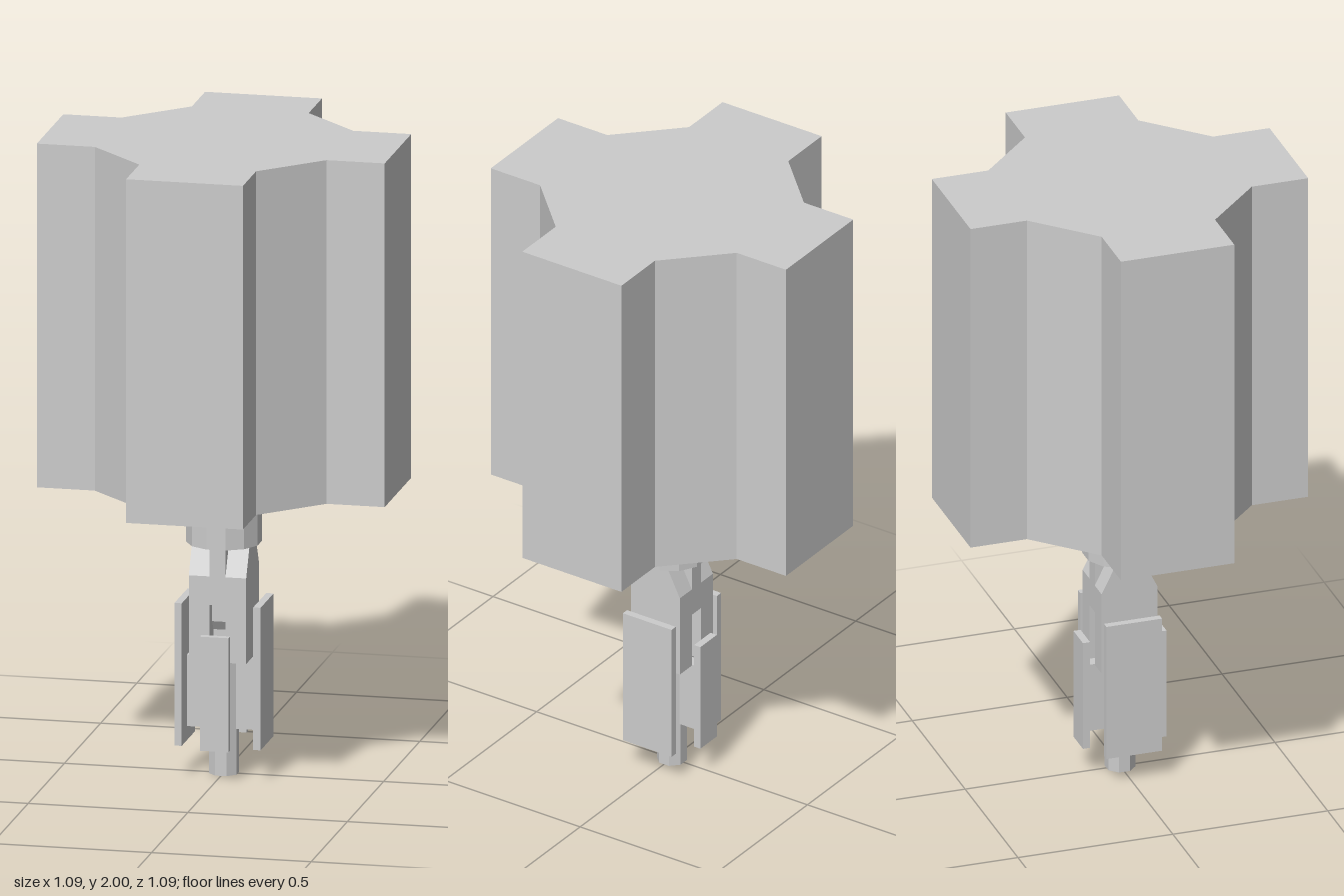
import * as THREE from 'three';

const material = new THREE.MeshStandardMaterial({ color: 0xcccccc, flatShading: true });

function add(parent, name, geometry) {
  const mesh = new THREE.Mesh(geometry, material);
  mesh.name = name;
  parent.add(mesh);
  return mesh;
}

// Box given by its lower and upper corners
function span(x0, x1, y0, y1, z0, z1) {
  return new THREE.BoxGeometry(x1 - x0, y1 - y0, z1 - z0)
    .translate((x0 + x1) / 2, (y0 + y1) / 2, (z0 + z1) / 2);
}

// Upright prism with flat sides facing the axes
function prism(radius, y0, y1, sides) {
  return new THREE.CylinderGeometry(radius, radius, y1 - y0, sides)
    .rotateY(Math.PI / sides).translate(0, (y0 + y1) / 2, 0);
}

// Outline in (z, y), extruded along x
function sideProfile(points, x0, x1) {
  const shape = new THREE.Shape(points.map(([z, y]) => new THREE.Vector2(-z, y)));
  return new THREE.ExtrudeGeometry(shape, { depth: x1 - x0, bevelEnabled: false })
    .rotateY(Math.PI / 2).translate(x0, 0, 0);
}

export function createModel() {
  const model = new THREE.Group();
  model.name = 'crossHeadedPin';

  // Cross-shaped head with slanted inner corners
  const a = 0.545, b = 0.183, c = 0.363;
  const corners = [];
  for (let i = 0; i < 4; i++) {
    for (const [x, y] of [[a, -b], [a, b], [c, b], [b, c]]) {
      corners.push(new THREE.Vector2(x, y).rotateAround(new THREE.Vector2(), i * Math.PI / 2));
    }
  }
  add(model, 'head', new THREE.ExtrudeGeometry(new THREE.Shape(corners), { depth: 1.085, bevelEnabled: false })
    .rotateX(-Math.PI / 2).translate(0, 0.915, 0));

  // Stepped neck
  add(model, 'collar', prism(0.186, 0.87, 0.915, 12));
  add(model, 'neck', prism(0.116, 0.73, 0.87, 12));

  // Body: two cheeks with sloped shoulders, joined by a middle web
  const body = new THREE.Group();
  body.name = 'body';
  model.add(body);
  const cheek = [[-0.09, 0.37], [0.09, 0.37], [0.09, 0.64], [0.045, 0.73], [-0.045, 0.73], [-0.09, 0.64]];
  add(body, 'leftCheek', sideProfile(cheek, 0.025, 0.09));
  add(body, 'rightCheek', sideProfile(cheek, -0.09, -0.025));
  add(body, 'upperRib', span(-0.025, 0.025, 0.55, 0.73, -0.09, 0.09));
  add(body, 'slotCore', sideProfile(
    [[-0.035, 0.37], [0.035, 0.37], [0.035, 0.46], [0.055, 0.49], [0.055, 0.55],
      [-0.055, 0.55], [-0.055, 0.49], [-0.035, 0.46]], -0.025, 0.025));

  // Central rod
  add(model, 'rod', prism(0.047, 0, 0.4, 8));

  // Wide, tall side plates and narrow, shorter front and back plates
  for (let i = 0; i < 4; i++) {
    const wide = i % 2 === 0;
    const fin = new THREE.Group();
    fin.name = wide ? 'sidePlate' : 'endPlate';
    fin.rotation.y = i * Math.PI / 2;
    const w = wide ? 0.09 : 0.045;
    add(fin, 'plate', span(0.112, 0.135, 0.1, wide ? 0.55 : 0.46, -w, w));
    add(fin, 'web', span(0.03, 0.115, 0.145, 0.37, -0.02, 0.02));
    model.add(fin);
  }
  return model;
}
